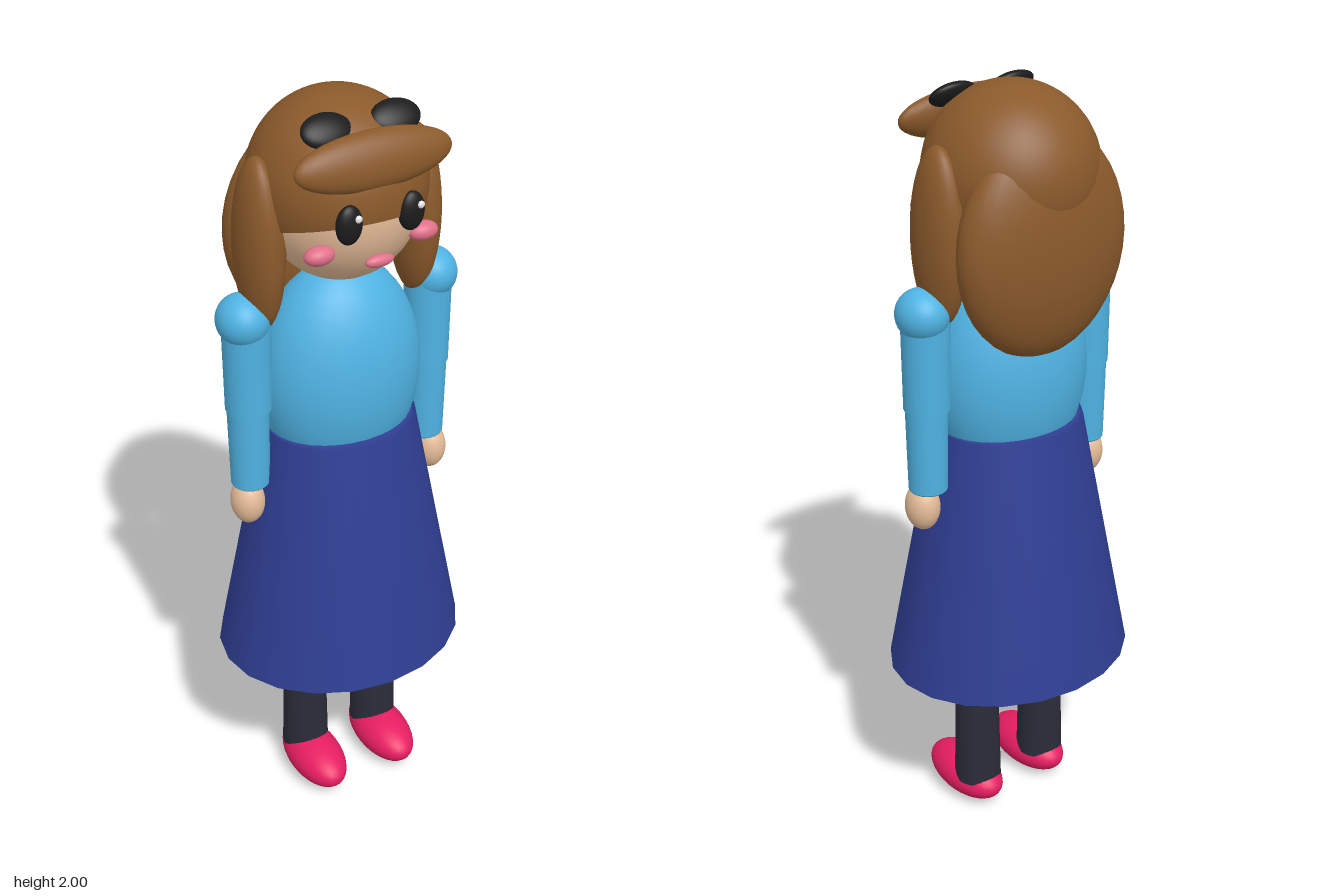
import * as THREE from 'three';

function material(name, color) {
  const m = new THREE.MeshStandardMaterial({ color });
  m.name = name;
  return m;
}

export function createModel() {
  const model = new THREE.Group();
  model.name = 'girl';

  const hair = material('brown hair', 0x8b5a2b);
  const skin = material('skin', 0xe6bc98);
  const shirt = material('light blue shirt', 0x4fb3e3);
  const skirtBlue = material('dark blue skirt', 0x303f94);
  const tights = material('dark tights', 0x2c2c3a);
  const pink = material('shoe pink', 0xe91e63);
  const blush = material('blush pink', 0xe0708a);
  const black = material('black', 0x1c1c1c);
  const white = material('white', 0xffffff);

  function add(name, geometry, mat, position, tilt = 0) {
    const mesh = new THREE.Mesh(geometry, mat);
    mesh.name = name;
    mesh.position.set(...position);
    mesh.rotation.x = tilt;
    model.add(mesh);
    return mesh;
  }

  function ellipsoid(name, mat, position, radii, tilt = 0) {
    const g = new THREE.SphereGeometry(1, 32, 20).scale(...radii);
    return add(name, g, mat, position, tilt);
  }

  function tube(name, mat, x, yBottom, yTop, rBottom, rTop) {
    const g = new THREE.CylinderGeometry(rTop, rBottom, yTop - yBottom, 24);
    return add(name, g, mat, [x, (yBottom + yTop) / 2, 0]);
  }

  // Skirt: oval cone with a closed, softly shaded hem
  const profile = [[0, 0.475], [0.31, 0.47], [0.335, 0.465], [0.199, 1.145], [0.19, 1.147], [0, 1.147]]
    .map(([r, y]) => new THREE.Vector2(r, y));
  add('skirt', new THREE.LatheGeometry(profile, 20).scale(1, 1, 0.86), skirtBlue, [0, 0, 0]);

  // Body and head
  ellipsoid('torso', shirt, [0, 1.28, 0], [0.212, 0.3, 0.166]);
  tube('neck', skin, 0, 1.48, 1.62, 0.06, 0.06);
  ellipsoid('head', skin, [0, 1.76, 0], [0.198, 0.215, 0.2]);

  // Hair: cap open over the face, long back, fringe roll
  const cap = new THREE.SphereGeometry(0.215, 40, 24, 0, Math.PI * 2, 0, 1.98);
  const capMesh = add('hairCap', cap, hair, [0, 1.785, -0.01], -0.3);
  capMesh.scale.set(1, 1, 1.01);
  ellipsoid('backHair', hair, [0, 1.635, -0.128], [0.24, 0.28, 0.103]);
  ellipsoid('fringe', hair, [0, 1.895, 0.163], [0.2, 0.067, 0.04], -0.3);

  // Mouth
  ellipsoid('mouth', blush, [0, 1.66, 0.194], [0.037, 0.015, 0.015]);

  for (const [side, s] of [['left', 1], ['right', -1]]) {
    // Face and hair details
    ellipsoid(side + 'HairLock', hair, [s * 0.208, 1.66, -0.005], [0.057, 0.22, 0.087]);
    ellipsoid(side + 'HairOrnament', black, [s * 0.087, 1.957, 0.103], [0.063, 0.043, 0.02], -Math.PI / 4);
    ellipsoid(side + 'Eye', black, [s * 0.08, 1.767, 0.195], [0.033, 0.048, 0.02]);
    ellipsoid(side + 'EyeHighlight', white, [s * 0.08 + 0.015, 1.785, 0.212], [0.009, 0.009, 0.006]);
    ellipsoid(side + 'Cheek', blush, [s * 0.135, 1.688, 0.157], [0.038, 0.023, 0.026]);

    // Arm
    ellipsoid(side + 'Shoulder', shirt, [s * 0.258, 1.48, 0], [0.065, 0.065, 0.069]);
    tube(side + 'UpperArm', shirt, s * 0.25, 1.235, 1.47, 0.058, 0.06);
    tube(side + 'Forearm', shirt, s * 0.252, 1.02, 1.245, 0.049, 0.053);
    ellipsoid(side + 'Cuff', shirt, [s * 0.252, 1.02, 0], [0.049, 0.014, 0.049]);
    ellipsoid(side + 'Hand', skin, [s * 0.265, 0.968, 0.008], [0.043, 0.063, 0.048]);

    // Leg and shoe
    tube(side + 'Leg', tights, s * 0.108, 0.08, 0.6, 0.064, 0.053);
    ellipsoid(side + 'Shoe', pink, [s * 0.108, 0.064, 0.053], [0.073, 0.06, 0.137]);
  }

  return model;
}
